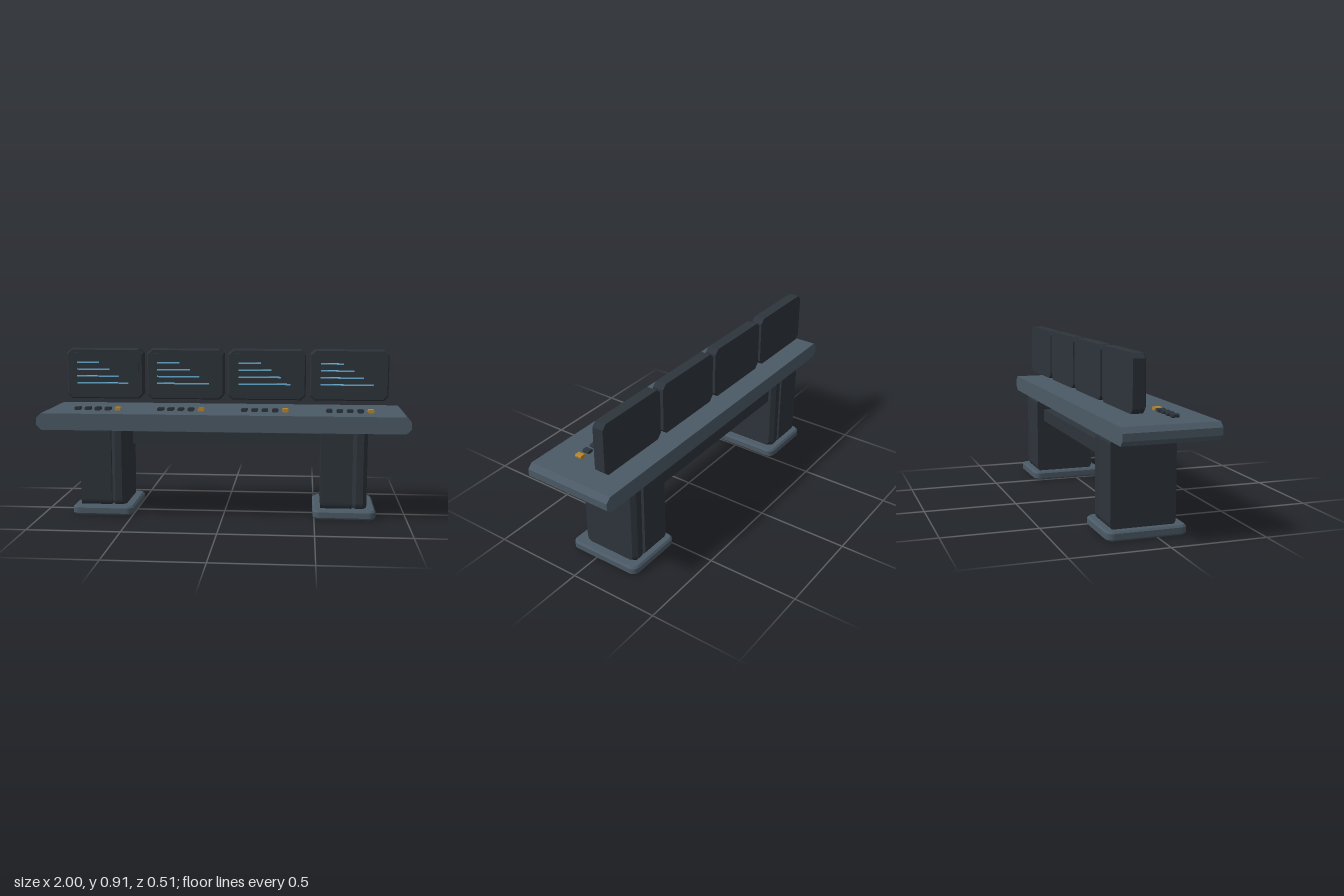
import * as THREE from 'three';

const mat = (name, color) => Object.assign(new THREE.MeshStandardMaterial({ color }), { name });

// Rectangle with cut corners, centred on the origin
function cutRect(w, h, c) {
  const x = w / 2, y = h / 2;
  return new THREE.Shape([
    [-x + c, -y], [x - c, -y], [x, -y + c], [x, y - c],
    [x - c, y], [-x + c, y], [-x, y - c], [-x, -y + c],
  ].map(([a, b]) => new THREE.Vector2(a, b)));
}

// Rectangle with rounded corners, centred on the origin
function roundRect(w, h, r) {
  const s = new THREE.Shape(), x = w / 2 - r, y = h / 2 - r, q = Math.PI / 2;
  s.absarc(x, y, r, 0, q);
  s.absarc(-x, y, r, q, 2 * q);
  s.absarc(-x, -y, r, 2 * q, 3 * q);
  s.absarc(x, -y, r, 3 * q, 4 * q);
  return s;
}

// Prism from z = 0 to z = depth, with an optional bevel kept inside that depth
function prism(shape, depth, bevelThickness = 0, bevelSize = 0) {
  const g = new THREE.ExtrudeGeometry(shape, {
    depth: depth - 2 * bevelThickness, curveSegments: 4, bevelSegments: 1,
    bevelEnabled: bevelThickness > 0, bevelThickness, bevelSize,
  });
  return g.translate(0, 0, bevelThickness);
}

export function createModel() {
  const model = new THREE.Group();
  model.name = 'controlDesk';
  const steel = mat('slateBlue', 0x4b5a66);
  const dark = mat('charcoal', 0x2d343b);
  const amber = mat('amber', 0xb8862c);
  const glow = mat('paleBlue', 0x6ab4dc);

  const add = (parent, name, geometry, material, x = 0, y = 0, z = 0) => {
    const m = new THREE.Mesh(geometry, material);
    m.name = name;
    m.position.set(x, y, z);
    parent.add(m);
    return m;
  };

  // Worktop with cut long-end edges
  add(model, 'worktop', prism(cutRect(2, 0.09, 0.026), 0.5), steel, 0, 0.535, -0.245);

  // Two identical pedestals: foot, column and bevelled side plate
  const footGeo = prism(roundRect(0.322, 0.4, 0.03), 0.05, 0.01, 0.01).rotateX(-Math.PI / 2);
  const columnGeo = prism(roundRect(0.34, 0.48, 0.05), 0.172).rotateY(Math.PI / 2);
  const plateGeo = prism(roundRect(0.296, 0.436, 0.028), 0.08, 0.021, 0.022).rotateY(Math.PI / 2);
  for (const x of [-0.667, 0.663]) {
    const leg = new THREE.Group();
    leg.name = 'pedestal';
    leg.position.x = x;
    add(leg, 'foot', footGeo, steel, 0, 0, -0.05);
    add(leg, 'column', columnGeo, dark, -0.129, 0.27, -0.06);
    add(leg, 'sidePlate', plateGeo, dark, 0.043, 0.27, -0.06);
    model.add(leg);
  }

  // Beam between the pedestals
  add(model, 'crossBeam', new THREE.BoxGeometry(1.09, 0.07, 0.06), dark, 0, 0.392, -0.16);

  // Shared monitor and key geometry
  const outline = cutRect(0.437, 0.284, 0.025);
  const caseGeo = prism(outline, 0.06);
  const rimGeo = prism(outline, 0.007);
  const p = rimGeo.attributes.position;
  for (let i = 0; i < p.count; i++) {
    if (p.getZ(i) > 0.003) p.setXY(i, p.getX(i) * 0.97, p.getY(i) * 0.955);
  }
  rimGeo.computeVertexNormals();
  const screenGeo = prism(cutRect(0.39, 0.236, 0.015), 0.006);
  const keyGeo = prism(cutRect(0.035, 0.018, 0.005), 0.038);

  // Four stations, each a monitor with a row of keys
  for (let i = 0; i < 4; i++) {
    const station = new THREE.Group();
    station.name = 'station';
    station.position.x = -0.693 + i * 0.4607;
    add(station, 'monitorCase', caseGeo, dark, 0, 0.763, -0.163);
    add(station, 'monitorRim', rimGeo, dark, 0, 0.763, -0.103);
    add(station, 'screen', screenGeo, dark, 0, 0.763, -0.097);
    [0.128, 0.187, 0.24, 0.294].forEach((w, k) => {
      add(station, 'screenLine', new THREE.BoxGeometry(w, 0.008, 0.005), glow,
        -0.16 + w / 2, 0.828 - k * 0.039, -0.0885);
    });
    for (let k = 0; k < 5; k++) {
      add(station, 'key', keyGeo, k === 4 ? amber : dark, -0.114 + k * 0.056, 0.589, 0.072);
    }
    model.add(station);
  }
  return model;
}
